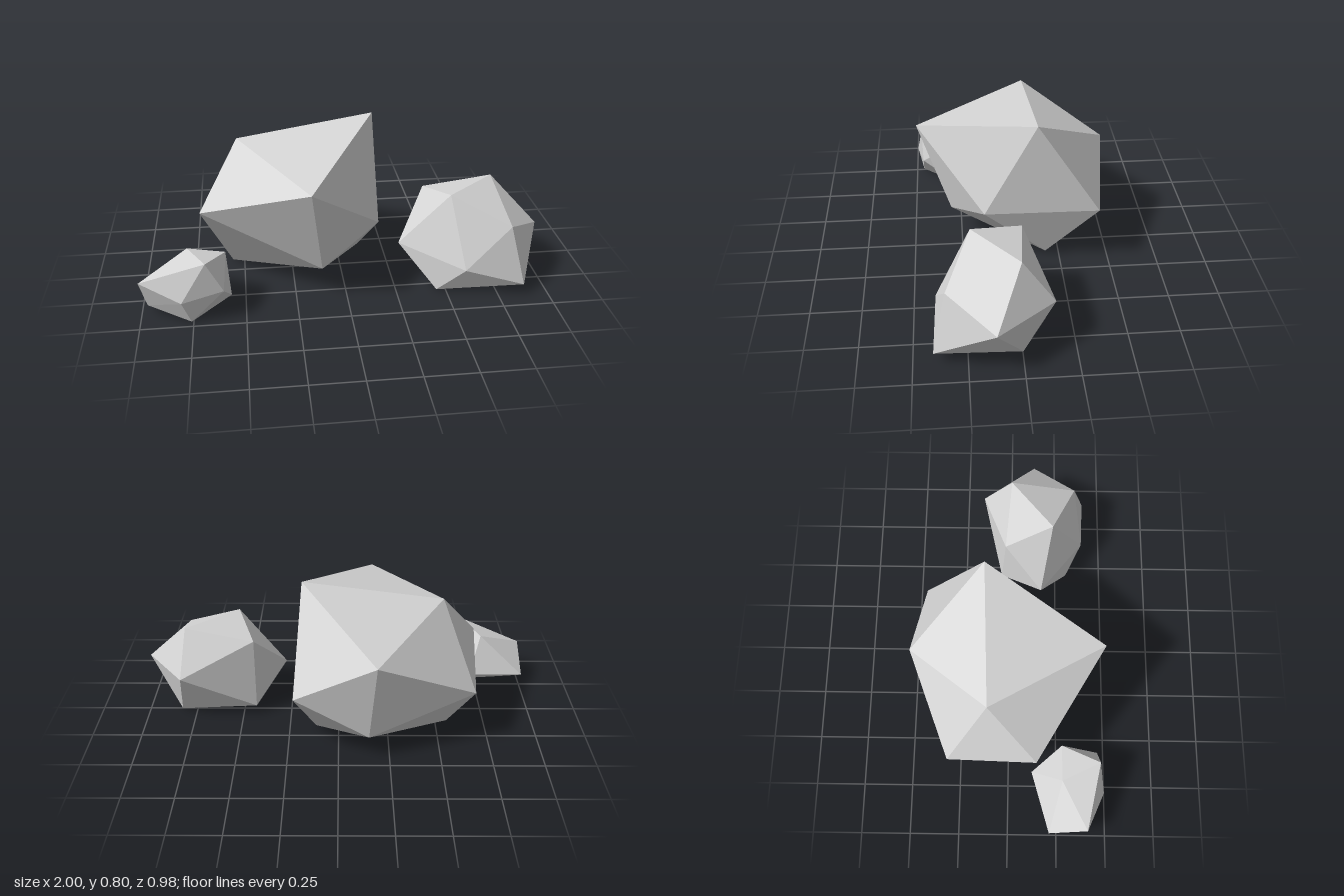
import * as THREE from 'three';
import { ConvexGeometry } from 'three/addons/geometries/ConvexGeometry.js';

const stone = new THREE.MeshStandardMaterial({ color: 0xd4d4d4, flatShading: true });
stone.name = 'pale stone grey';

// A faceted boulder: the convex hull of its corner points
function makeRock(name, corners) {
  const points = corners.map((c) => new THREE.Vector3(...c));
  const rock = new THREE.Mesh(new ConvexGeometry(points), stone);
  rock.name = name;
  return rock;
}

export function createModel() {
  const group = new THREE.Group();
  group.name = 'rocks';

  // Large boulder in the middle: crown, waist, base
  group.add(makeRock('largeRock', [
    [0.177, 0.8, -0.123], [-0.51, 0.7, -0.1], [-0.18, 0.63, 0.466],
    [-0.706, 0.41, 0.138], [0.18, 0.31, 0.138], [0.216, 0.33, -0.435],
    [-0.18, 0.532, -0.49], [-0.67, 0.29, -0.305], [-0.12, 0.155, 0.303],
    [-0.56, 0, -0.11], [0.115, 0.015, -0.18], [-0.148, 0.125, -0.445],
  ]));

  // Medium rock on the left
  group.add(makeRock('mediumRock', [
    [0.782, 0.48, 0.003], [0.525, 0.48, 0.22], [0.81, 0.35, 0.343],
    [0.434, 0.42, -0.027], [0.28, 0.2, 0.165], [0.58, 0.145, 0.39],
    [0.875, 0.058, 0.406], [1, 0.255, 0.125], [0.8, 0.265, -0.15],
    [0.83, 0, -0.003], [0.455, 0, 0.31], [0.43, 0.05, -0.05],
  ]));

  // Small rock on the right
  group.add(makeRock('smallRock', [
    [-0.68, 0.308, 0.46], [-0.77, 0.293, 0.27], [-0.588, 0.262, 0.27],
    [-1, 0.19, 0.4], [-0.8, 0.12, 0.49], [-0.6, 0.155, 0.455],
    [-1, 0.085, 0.21], [-0.97, 0.045, 0.362], [-0.7, 0.138, 0.12],
    [-0.76, 0, 0.46], [-0.569, 0.018, 0.27], [-0.85, 0.03, 0.28],
  ]));

  return group;
}
